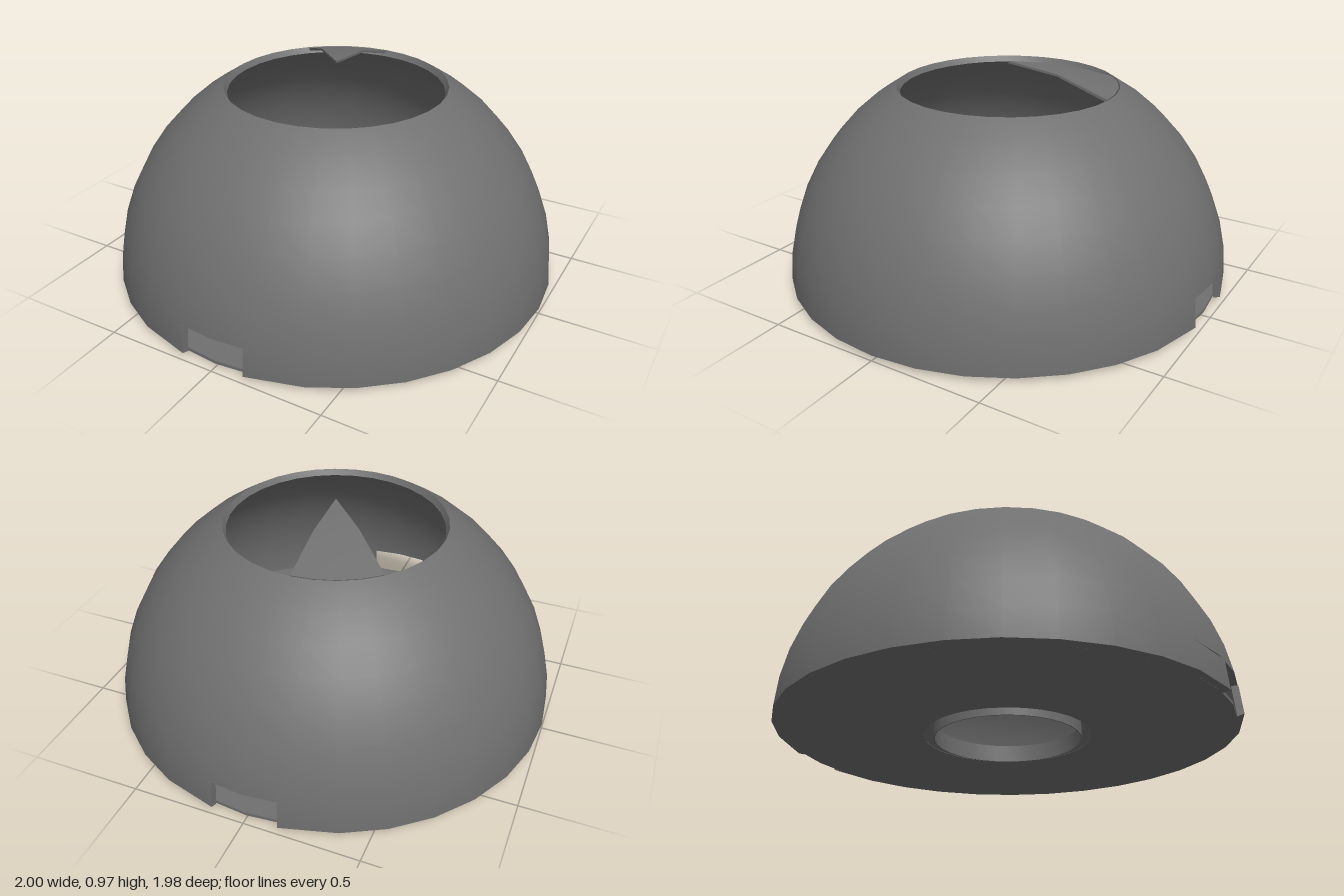
import * as THREE from 'three';
import { toCreasedNormals } from 'three/addons/utils/BufferGeometryUtils.js';

const material = new THREE.MeshStandardMaterial({ color: 0x707070, side: THREE.DoubleSide });
const OUTER = 1, INNER = 0.97, BASE = 0.02;
const RIM = 0.513;        // polar angle of the top opening
const NOTCH_Y = 0.15;     // top of the notches
const NOTCH = 0.146;      // half angle of a notch
const STEP = Math.PI / 16; // one facet of the dome

const polar = (radius, y) => Math.acos(y / radius);
const points = (list) => list.map(([r, y]) => new THREE.Vector2(r, y));

// Points on a sphere of the given radius between two polar angles
function arc(radius, from, to, steps) {
  return Array.from({ length: steps + 1 }, (_, i) => {
    const t = from + (to - from) * i / steps;
    return new THREE.Vector2(radius * Math.sin(t), radius * Math.cos(t));
  });
}

// Revolves a closed profile; partial sweeps get flat end faces,
// and their first and last columns can be pushed outwards by an extra angle
function revolve(name, profile, { segments = 32, start = 0, length = Math.PI * 2, extra = 0 } = {}) {
  const group = new THREE.Group();
  group.name = name;
  const lathe = new THREE.LatheGeometry([...profile, profile[0].clone()], segments, start, length);
  const pos = lathe.attributes.position, column = profile.length + 1;
  const v = new THREE.Vector3(), up = new THREE.Vector3(0, 1, 0);
  for (let j = 0; j < column; j++) {
    for (const [i, turn] of [[j, -extra], [segments * column + j, extra]]) {
      v.fromBufferAttribute(pos, i).applyAxisAngle(up, turn);
      pos.setXYZ(i, v.x, v.y, v.z);
    }
  }
  const skin = new THREE.Mesh(toCreasedNormals(lathe, 0.5), material);
  skin.name = name + 'Surface';
  group.add(skin);
  if (length < Math.PI * 2) {
    for (const phi of [start - extra, start + length + extra]) {
      const cap = new THREE.Mesh(new THREE.ShapeGeometry(new THREE.Shape(profile)), material);
      cap.name = name + 'End';
      cap.rotation.y = phi - Math.PI / 2;
      group.add(cap);
    }
  }
  return group;
}

// Gives the spherical faces of a shell true sphere normals, so bands join smoothly
function smoothSphere(shell) {
  const { position, normal } = shell.children[0].geometry.attributes;
  const p = new THREE.Vector3(), n = new THREE.Vector3();
  for (let i = 0; i < position.count; i++) {
    p.fromBufferAttribute(position, i).normalize();
    const facing = p.dot(n.fromBufferAttribute(normal, i));
    if (Math.abs(facing) > 0.9) {
      p.multiplyScalar(Math.sign(facing));
      normal.setXYZ(i, p.x, p.y, p.z);
    }
  }
  return shell;
}

export function createModel() {
  const model = new THREE.Group();
  model.name = 'dome';

  // Upper shell with a radially cut round opening
  model.add(smoothSphere(revolve('upperShell', [
    ...arc(OUTER, polar(OUTER, NOTCH_Y), RIM, 7),
    ...arc(INNER, RIM, polar(INNER, NOTCH_Y), 7),
  ])));

  // Lower shell in two halves, leaving a notch at front and back
  const band = [
    ...arc(OUTER, polar(OUTER, BASE + 0.004), polar(OUTER, NOTCH_Y), 1),
    ...arc(INNER, polar(INNER, NOTCH_Y), polar(INNER, BASE - 0.004), 1),
  ];
  for (const [name, start] of [['leftLowerShell', 0], ['rightLowerShell', Math.PI]]) {
    model.add(smoothSphere(revolve(name, band, {
      segments: 14, start: start + STEP, length: 14 * STEP, extra: STEP - NOTCH,
    })));
  }

  // Thin floor with a central hole
  model.add(revolve('floor', points([[0.365, 0.014], [0.97, 0.016], [0.97, 0.03], [0.365, 0.03]])));

  // Short tube in the floor hole, joined to the floor by a sloping collar with a groove beneath
  model.add(revolve('collar', points([
    [0.316, 0], [0.321, 0], [0.321, 0.062], [0.365, 0.016],
    [0.37, 0.03], [0.323, 0.075], [0.316, 0.075],
  ])));

  // Pointed sliver reaching from the rim over the opening
  model.add(revolve('topWedge', points([
    [0.484, 0.87], [0.245, 0.945], [0, 0.97],
    [0, 0.96], [0.245, 0.935], [0.48, 0.858],
  ]), { segments: 4, start: Math.PI, length: Math.PI / 4 }));

  return model;
}
